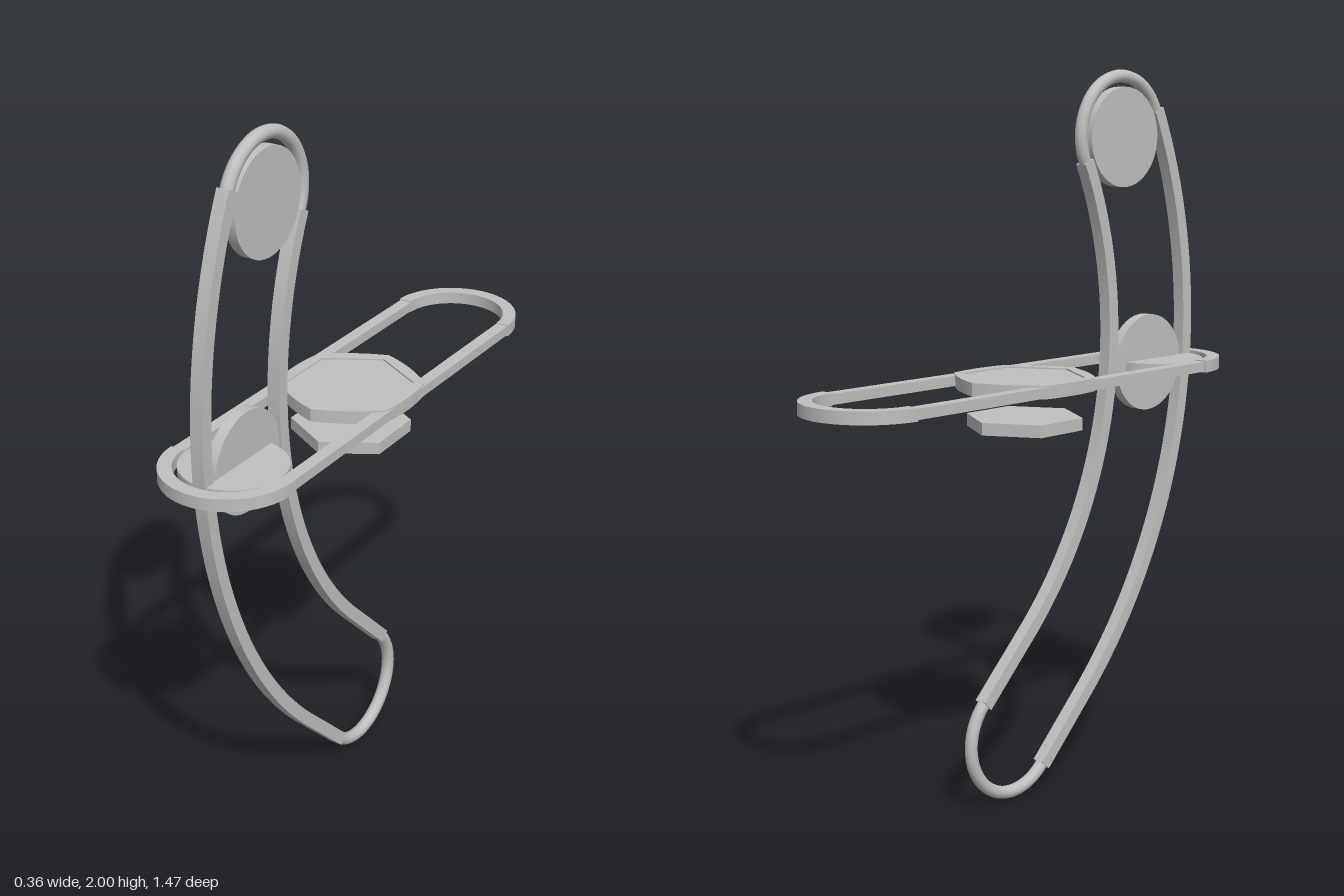
import * as THREE from 'three';
import { toCreasedNormals } from 'three/addons/utils/BufferGeometryUtils.js';

export function createModel() {
  const model = new THREE.Group();
  const grey = new THREE.MeshStandardMaterial({ color: 0xbfbfbf });
  const D = Math.PI / 180;

  const add = (name, geometry, x = 0, y = 0, z = 0) => {
    const mesh = new THREE.Mesh(geometry, grey);
    mesh.name = name;
    mesh.position.set(x, y, z);
    model.add(mesh);
    return mesh;
  };
  // Slab of a shape, centred on its thickness
  const slab = (shape, depth) => {
    const g = new THREE.ExtrudeGeometry(shape, { depth, bevelEnabled: false, curveSegments: 40 });
    g.translate(0, 0, -depth / 2);
    return toCreasedNormals(g, 0.5);
  };
  const upright = (g) => g.rotateY(-Math.PI / 2); // shape x becomes z
  const flat = (g) => g.rotateX(-Math.PI / 2); // shape y becomes -z

  // Upright curved loop: two parallel rails bent about one centre, straight at the foot
  const cz = -0.793, cy = 1.273, R = 1.3, gap = 0.162, half = 0.018;
  const top = 25 * D, foot = -45 * D, run = 0.243;
  const railShape = (r) => {
    const s = new THREE.Shape();
    const at = (rad, l) => [cz + rad * Math.cos(foot) - l * Math.SQRT1_2, cy + rad * Math.sin(foot) - l * Math.SQRT1_2];
    s.absarc(cz, cy, r + half, top, foot, true);
    s.lineTo(...at(r + half, run));
    s.lineTo(...at(r - half, run));
    s.lineTo(...at(r - half, 0));
    s.absarc(cz, cy, r - half, foot, top, false);
    return s;
  };
  add('frontCurvedRail', upright(slab(railShape(R + gap), 0.036)));
  add('rearCurvedRail', upright(slab(railShape(R - gap), 0.036)));

  // Rounded half rings closing the upright loop
  const endRing = (name, start, y, z) => {
    const g = new THREE.TorusGeometry(gap, half, 12, 40, Math.PI);
    add(name, upright(g.rotateZ(start)), 0, y, z);
  };
  const topZ = cz + R * Math.cos(top), topY = cy + R * Math.sin(top);
  endRing('topEndRing', top, topY, topZ);
  endRing('bottomEndRing', 135 * D, cy - (R + run) * Math.SQRT1_2, cz + (R - run) * Math.SQRT1_2);

  // Level loop: straight side rails and flat half rings
  const level = 1.172, endZ = 0.555;
  for (const s of [1, -1]) {
    add(s > 0 ? 'leftLevelRail' : 'rightLevelRail', new THREE.BoxGeometry(0.035, 0.028, endZ * 2), s * 0.16, level, 0);
    const arc = new THREE.Shape();
    arc.absarc(0, 0, 0.18, 0, Math.PI, false);
    arc.absarc(0, 0, 0.143, Math.PI, 0, true);
    const ring = add(s > 0 ? 'frontLevelRing' : 'rearLevelRing', flat(slab(arc, 0.034)), 0, level, s * endZ);
    if (s > 0) ring.rotation.y = Math.PI;
  }

  // Discs inside the loops
  const disc = (r, t) => new THREE.CylinderGeometry(r, r, t, 48);
  add('topDisc', disc(0.138, 0.03).rotateZ(Math.PI / 2), 0, topY - 0.005, topZ + 0.003);
  add('middleDisc', disc(0.138, 0.03).rotateZ(Math.PI / 2), 0, 1.175, 0.5);
  add('levelDisc', disc(0.14, 0.024), 0, level, 0.54);

  // Central hexagon with slightly bowed edges, a rim and a recessed panel
  const hexagon = (Cls, r, bow) => {
    const s = new Cls();
    for (let i = 0; i <= 6; i++) {
      const a = (90 + i * 60) * D, m = a - 30 * D;
      const x = r * Math.cos(a), y = r * Math.sin(a);
      if (i === 0) s.moveTo(x, y);
      else if (bow) s.quadraticCurveTo(bow * Math.cos(m), bow * Math.sin(m), x, y);
      else s.lineTo(x, y);
    }
    return s;
  };
  const rim = hexagon(THREE.Shape, 0.197, 0.191);
  rim.holes.push(hexagon(THREE.Path, 0.168));
  add('hexagonRim', flat(slab(rim, 0.036)), 0, level, 0);
  add('hexagonPanel', flat(slab(hexagon(THREE.Shape, 0.17), 0.028)), 0, level, 0);

  // Smaller hexagonal plate hanging below
  add('lowerHexagon', flat(slab(hexagon(THREE.Shape, 0.162), 0.034)), 0, 1.062, 0);

  return model;
}
